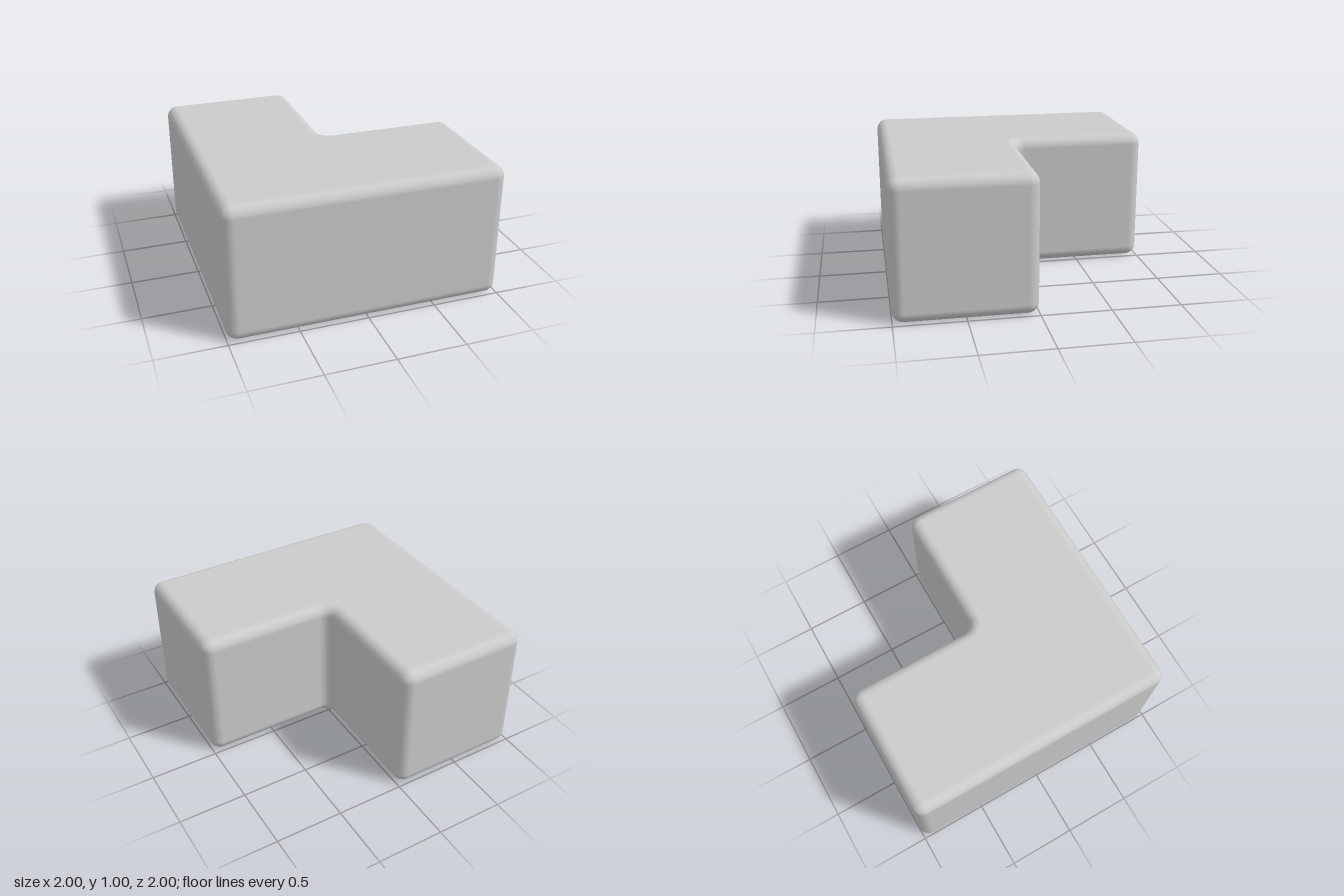
import * as THREE from 'three';

const R = 0.08;      // edge rounding radius
const HEIGHT = 1;
const STEPS = 8;     // segments per quarter turn

// Corners of the L outline in (x, z): arc centre, start and end angle in quarter turns
const CORNERS = [
  { x: 1 - R, z: 1 - R, from: 0, to: 1 },
  { x: -1 + R, z: 1 - R, from: 1, to: 2 },
  { x: -1 + R, z: -1 + R, from: 2, to: 3 },
  { x: -R, z: -1 + R, from: 3, to: 4 },
  { x: R, z: -R, from: 4, to: 3, concave: true },
  { x: 1 - R, z: R, from: 3, to: 4 },
];

function roundedElbow() {
  const positions = [], normals = [], index = [];
  const ringSize = CORNERS.length * (STEPS + 1);

  // One outline loop: tilt runs from -90 degrees (underside) to +90 (top)
  const addRing = (tilt, baseY) => {
    const out = Math.cos(tilt), up = Math.sin(tilt);
    for (const c of CORNERS) {
      for (let i = 0; i <= STEPS; i++) {
        const a = (c.from + (c.to - c.from) * i / STEPS) * Math.PI / 2;
        const nx = Math.cos(a), nz = Math.sin(a);
        const reach = c.concave ? R * out - 2 * R : R * out;
        positions.push(c.x + nx * reach, baseY + R * up, c.z + nz * reach);
        normals.push(nx * out, up, nz * out);
      }
    }
  };
  for (let i = 0; i <= STEPS; i++) addRing((i / STEPS - 1) * Math.PI / 2, R);
  for (let i = 0; i <= STEPS; i++) addRing((i / STEPS) * Math.PI / 2, HEIGHT - R);

  // Walls and rounded edges between neighbouring rings
  const rings = 2 * (STEPS + 1);
  for (let j = 0; j < rings - 1; j++) {
    for (let i = 0; i < ringSize; i++) {
      const a = j * ringSize + i, b = j * ringSize + (i + 1) % ringSize;
      index.push(a, a + ringSize, b, b, a + ringSize, b + ringSize);
    }
  }

  // Flat underside and top, fanned from the middle of the elbow square
  const bottom = positions.length / 3, top = bottom + 1;
  positions.push(-0.5, 0, 0.5, -0.5, HEIGHT, 0.5);
  normals.push(0, -1, 0, 0, 1, 0);
  const last = (rings - 1) * ringSize;
  for (let i = 0; i < ringSize; i++) {
    const n = (i + 1) % ringSize;
    index.push(bottom, i, n, top, last + n, last + i);
  }

  const geometry = new THREE.BufferGeometry();
  geometry.setAttribute('position', new THREE.Float32BufferAttribute(positions, 3));
  geometry.setAttribute('normal', new THREE.Float32BufferAttribute(normals, 3));
  geometry.setIndex(index);
  return geometry;
}

export function createModel() {
  const group = new THREE.Group();
  group.name = 'cornerBlock';
  const block = new THREE.Mesh(roundedElbow(), new THREE.MeshStandardMaterial({ color: 0xcccccc }));
  block.name = 'roundedLBlock';
  group.add(block);
  return group;
}
